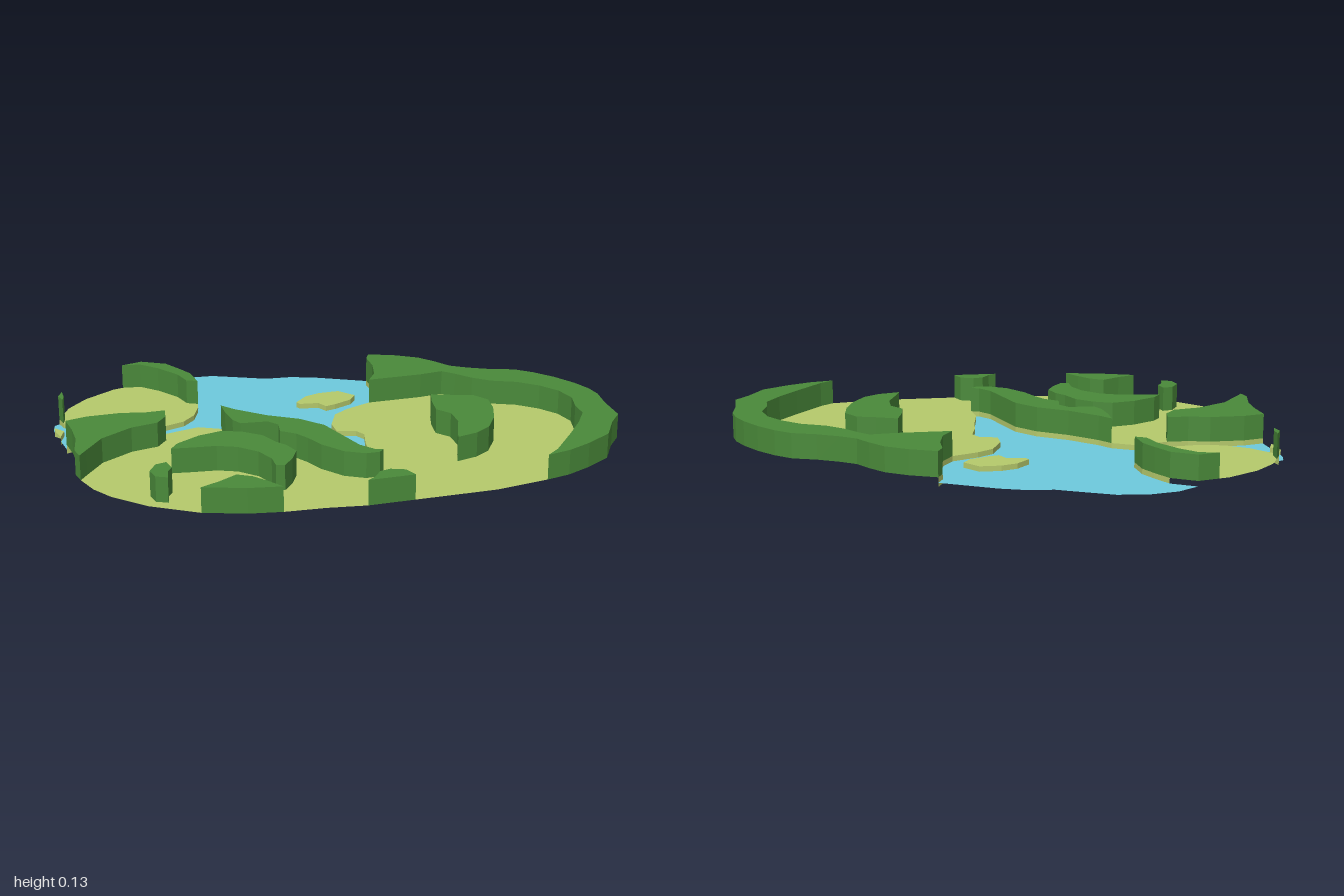
import * as THREE from 'three';
import { mergeGeometries } from 'three/addons/utils/BufferGeometryUtils.js';

// Heights: skirts hang from the land down to y = 0
const WATER = 0.015, LAND = 0.035, FOREST = 0.13;

// Flat list in hundredths -> array of [x, z]
const pts = (...n) => Array.from({ length: n.length / 2 }, (_, i) => [n[2 * i] / 100, n[2 * i + 1] / 100]);
const rev = (line) => [...line].reverse();
// Join lines end to end, dropping repeated corners
const join = (...lines) => {
  const all = lines.flat().filter((p, i, a) => !i || p[0] !== a[i - 1][0] || p[1] !== a[i - 1][1]);
  const a = all[0], b = all[all.length - 1];
  if (a[0] === b[0] && a[1] === b[1]) all.pop();
  return all;
};
const vec = (line) => line.map(([x, z]) => new THREE.Vector2(x, -z));

const mat = (color) => new THREE.MeshStandardMaterial({ color, flatShading: true, side: THREE.DoubleSide });

// Horizontal sheet at height y
function sheet(outline, y, holes = []) {
  const shape = new THREE.Shape(vec(outline));
  shape.holes = holes.map((h) => new THREE.Path(vec(h)));
  const g = new THREE.ShapeGeometry(shape).rotateX(-Math.PI / 2).translate(0, y, 0).toNonIndexed();
  g.deleteAttribute('uv');
  return g;
}

// Vertical ribbon under a line, facing the right-hand side of its direction of travel
function ribbon(line, y0, y1) {
  const pos = [];
  for (let i = 0; i < line.length - 1; i++) {
    const [ax, az] = line[i], [bx, bz] = line[i + 1];
    pos.push(ax, y0, az, bx, y0, bz, bx, y1, bz, ax, y0, az, bx, y1, bz, ax, y1, az);
  }
  const g = new THREE.BufferGeometry();
  g.setAttribute('position', new THREE.Float32BufferAttribute(pos, 3));
  g.computeVertexNormals();
  return g;
}

// Raised block with walls and a top, open below
function block(outline, y0, y1) {
  const loop = THREE.ShapeUtils.area(vec(outline)) > 0 ? outline : rev(outline);
  return mergeGeometries([sheet(loop, y1), ribbon([...loop, loop[0]], y0, y1)]);
}

export function createModel() {
  const model = new THREE.Group();
  const forestMat = mat(0x4a8a3a), landMat = mat(0xb6ca6c), waterMat = mat(0x6ecbde);
  const add = (name, geometry, material) => {
    const mesh = new THREE.Mesh(geometry, material);
    mesh.name = name;
    model.add(mesh);
  };

  // Shorelines of the main land, west to east round the bay
  const shoreWest = pts(-98, -11, -90, -13, -77, -13, -69, -11, -61, -11);
  const shoreMeadow = pts(-61, -11, -48, -14, -40, -10);
  const shoreBay = pts(-40, -10, -36, -5, -26, 4, -15, 11, -8, 19, -5, 28, -1, 40, 3, 45, 6, 46);
  const shoreEast = pts(6, 46, 5, 38, 7, 27, 8, 18, 10, 10, 8, 6, 1, 4, 1, -3, 5, -12, 11, -16, 21, -20);
  const shoreNorthEast = pts(21, -20, 25, -26, 27, -35, 27, -43, 29, -47);
  // Shorelines of the north-west land
  const shoreNorthWest = pts(-97, -36, -96, -32, -89, -24, -81, -19, -72, -17, -61, -18, -52, -21, -47, -26,
    -44, -33, -43, -37);
  const shoreNorth = pts(-43, -37, -44, -46, -47, -52, -51, -59, -60, -64);

  // Lines where edge forests meet the land
  const innerWest = pts(-61, -11, -62, -5, -66, 0, -76, 2, -88, 9, -95, 18, -98, 22);
  const innerBay = pts(-40, -10, -40, -3, -39, 5, -37, 9, -27, 10, -24, 14, -25, 20, -20, 24, -17, 29, -14, 36,
    -8, 44, -1, 48, 4, 48, 6, 46);
  const innerEast = pts(21, -20, 32, -20, 42, -20, 51, -21, 55, -17, 60, -11, 66, -6, 75, -2, 82, 4, 87, 11,
    89, 19, 87, 27, 87, 34, 82, 42, 75, 51, 70, 57, 65, 63, 60, 67);
  const innerSouth = pts(10, 70, 8, 65, 3, 63, -1, 64, -4, 68, -7, 70);
  const innerSouthWest = pts(-36, 67, -40, 61, -44, 56, -49, 53, -56, 57, -63, 60);
  const innerNorth = pts(-43, -37, -47, -39, -49, -46, -55, -55, -61, -61, -68, -62);
  const innerTip = pts(-96, -32, -95, -35, -95, -40);

  // Outer rim
  const rimEast = pts(29, -47, 39, -43, 47, -38, 52, -32, 56, -26, 62, -22, 70, -18, 79, -15, 85, -10, 91, -3,
    96, 5, 99, 12, 100, 18, 99, 27, 99, 39, 94, 45, 88, 55, 78, 61, 69, 65, 60, 67);
  const rimWest = pts(-98, 22, -99, 17, -97, 7, -97, -2, -98, -11);
  const rimWater = pts(-60, -64, -52, -69, -42, -71, -30, -70, -21, -66, -10, -61, 0, -60, 9, -57, 19, -52, 29, -47);

  // Islands
  const island = pts(-6, -28, -1, -33, 5, -35, 13, -35, 18, -29, 15, -25, 8, -22, 4, -21, 2, -25, -5, -26);
  const isletShore = pts(-100, -28, -97, -24, -99, -19);
  const islet = join(isletShore, pts(-100, -24));

  // Forests standing inside the main land
  const groves = [
    pts(-66, 25, -63, 21, -54, 16, -45, 14, -38, 17, -32, 22, -29, 29, -26, 33, -24, 39, -27, 45, -31, 50,
      -34, 49, -34, 43, -37, 36, -43, 30, -50, 27, -59, 26),
    pts(-77, 42, -74, 37, -70, 36, -69, 41, -71, 44, -72, 49, -76, 47),
    pts(39, 1, 47, 4, 54, 6, 58, 12, 57, 20, 54, 29, 49, 37, 43, 41, 35, 43, 37, 37, 40, 29, 40, 21, 36, 16, 37, 8),
  ];

  // Water sheet
  const mainShore = join(shoreWest, shoreMeadow, shoreBay, shoreEast, shoreNorthEast);
  const northShore = join(shoreNorthWest, shoreNorth);
  add('water', sheet(join(rimWater, rev(mainShore), rev(isletShore), pts(-100, -31, -99, -35), northShore),
    WATER, [island]), waterMat);

  // Land sheets, cut out around the forests
  add('mainLand', sheet(join(rev(innerWest), shoreMeadow, innerBay, shoreEast, innerEast, pts(40, 70),
    innerSouth, pts(-21, 68), innerSouthWest, pts(-71, 55, -79, 50, -90, 39, -95, 31)), LAND, groves), landMat);
  add('northWestLand', sheet(join(shoreNorthWest.slice(1), innerNorth, pts(-72, -61, -84, -54, -92, -46),
    rev(innerTip)), LAND), landMat);
  add('island', block(island, 0, LAND), landMat);
  add('islet', mergeGeometries([sheet(islet, LAND), ribbon(rev(isletShore), 0, LAND)]), landMat);

  // Shore banks
  add('mainShoreBank', ribbon(rev(mainShore), 0, LAND), landMat);
  add('northShoreBank', ribbon(northShore.slice(0, -1), 0, LAND), landMat);

  // Forest blocks
  const forests = {
    westForest: join(shoreWest, innerWest, rimWest),
    bayForest: join(shoreBay, rev(innerBay)),
    eastForest: join(shoreNorthEast, rimEast, rev(innerEast)),
    southForest: innerSouth,
    southWestForest: join(innerSouthWest, pts(-48, 65)),
    northForest: join(shoreNorth, rev(innerNorth)),
    tipForest: join(innerTip, pts(-97, -36)),
  };
  groves.forEach((g, i) => { forests['grove' + (i + 1)] = g; });
  for (const [name, outline] of Object.entries(forests)) add(name, block(outline, LAND, FOREST), forestMat);

  return model;
}
